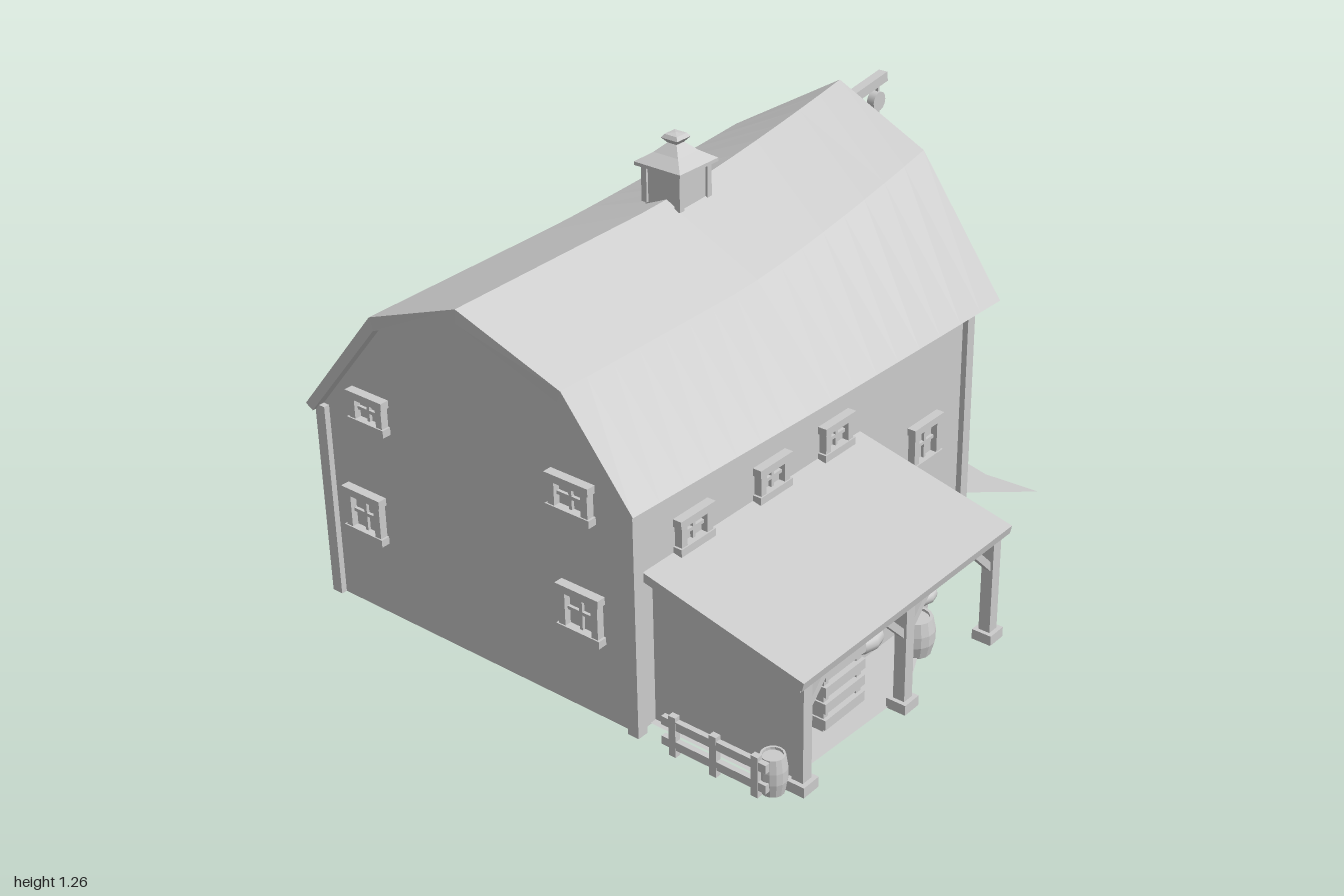
import * as THREE from 'three';

const gray = new THREE.MeshStandardMaterial({ color: 0xcccccc, side: THREE.DoubleSide });
gray.name = 'plain gray';
const V = (x, y, z) => new THREE.Vector3(x, y, z);

export function createModel() {
  const barn = new THREE.Group();
  barn.name = 'barn';

  const add = (name, geo, parent = barn) => {
    const m = new THREE.Mesh(geo, gray);
    m.name = name;
    parent.add(m);
    return m;
  };
  const box = (name, x, y, z, w, h, d, parent) => {
    const m = add(name, new THREE.BoxGeometry(w, h, d), parent);
    m.position.set(x, y, z);
    return m;
  };
  // square timber between two points
  const beam = (name, a, b, w, parent, t = w) => {
    const m = add(name, new THREE.BoxGeometry(w, t, a.distanceTo(b)), parent);
    m.position.copy(a).add(b).multiplyScalar(0.5);
    m.lookAt(b);
    return m;
  };
  const barrel = (name, x, y, z, r, h, parent) => {
    const pts = [[0, 0], [0.82, 0], [1, 0.35], [1, 0.65], [0.85, 1], [0.7, 1], [0.7, 0.93], [0, 0.93]];
    const m = add(name, new THREE.LatheGeometry(pts.map(p => new THREE.Vector2(p[0] * r, p[1] * h)), 14), parent);
    m.geometry = m.geometry.toNonIndexed();
    m.geometry.computeVertexNormals();
    m.position.set(x, y, z);
    return m;
  };

  // roof outline at s = 0 (front) to 1 (back); the ridge rises toward the back
  const front = [V(-0.81, 0.59, 0.94), V(-0.53, 0.93, 0.94), V(-0.15, 1.09, 1.0), V(0.14, 0.94, 0.95), V(0.36, 0.67, 0.95)];
  const back = [V(-0.81, 0.6, -0.61), V(-0.57, 0.97, -0.61), V(-0.2, 1.19, -0.63), V(0.12, 1.06, -0.6), V(0.41, 0.68, -0.58)];
  const profile = s => front.map((f, i) => {
    const p = f.clone().lerp(back[i], s);
    const u = Math.max(0, (s - 0.45) / 0.55);
    p.y = f.y + (back[i].y - f.y) * Math.pow(u, 1.4);
    return p;
  });
  const thick = [[0.025, -0.015], [0.012, -0.035], [0, -0.04], [-0.012, -0.035], [-0.025, -0.015]];
  const under = s => profile(s).map((p, i) => V(p.x + thick[i][0], p.y + thick[i][1], p.z));

  // skin over closed rings, with end strips between outer and inner edge
  const roofGeo = () => {
    const n = 16, pos = [], idx = [];
    for (let k = 0; k <= n; k++)
      for (const p of [...profile(k / n), ...under(k / n).reverse()]) pos.push(p.x, p.y, p.z);
    for (let k = 0; k < n; k++)
      for (let i = 0; i < 10; i++) {
        const a = k * 10 + i, b = k * 10 + (i + 1) % 10;
        idx.push(a, b, a + 10, b, b + 10, a + 10);
      }
    for (let i = 0; i < 4; i++) {
      const o = n * 10;
      idx.push(i, 9 - i, i + 1, i + 1, 9 - i, 8 - i);
      idx.push(o + i, o + i + 1, o + 9 - i, o + i + 1, o + 8 - i, o + 9 - i);
    }
    let g = new THREE.BufferGeometry();
    g.setAttribute('position', new THREE.Float32BufferAttribute(pos, 3));
    g.setIndex(idx);
    g = g.toNonIndexed();
    g.computeVertexNormals();
    return g;
  };
  add('gambrelRoof', roofGeo());

  // gable walls
  const XL = -0.77, XR = 0.32, ZF = 0.91, ZB = -0.55;
  const gable = (name, s, z, doorway) => {
    const u = under(s), sh = new THREE.Shape();
    sh.moveTo(XL, 0);
    if (doorway) [[-0.37, 0], [-0.37, 0.46], [0.06, 0.46], [0.06, 0]].forEach(p => sh.lineTo(...p));
    sh.lineTo(XR, 0);
    sh.lineTo(XR, 0.68);
    for (let i = 3; i > 0; i--) sh.lineTo(u[i].x, u[i].y + 0.01);
    sh.lineTo(XL, 0.6);
    sh.closePath();
    if (doorway) {
      const hole = new THREE.Path();
      [[-0.34, 0.62], [-0.2, 0.62], [-0.2, 0.91], [-0.34, 0.91]].forEach((p, i) => i ? hole.lineTo(...p) : hole.moveTo(...p));
      hole.closePath();
      sh.holes.push(hole);
    }
    add(name, new THREE.ExtrudeGeometry(sh, { depth: 0.02, bevelEnabled: false })).position.z = z;
  };
  gable('frontWall', 0.02, ZF - 0.02, false);
  gable('backWall', 0.96, ZB, true);
  box('leftSideWall', XL + 0.01, 0.31, 0.18, 0.02, 0.62, ZF - ZB);
  box('rightSideWall', XR - 0.01, 0.34, 0.18, 0.02, 0.68, ZF - ZB);
  for (const x of [XL, XR]) for (const z of [ZF, ZB])
    box('cornerBoard', x, x < 0 ? 0.295 : 0.33, z, 0.035, x < 0 ? 0.59 : 0.66, 0.035);

  // windows: frame, cross bars and pane, facing +z before turning
  const window4 = (x, y, z, w, h, turn) => {
    const g = new THREE.Group();
    g.name = 'window';
    for (const s of [-1, 1]) {
      box('frameSide', s * (w / 2 - 0.01), 0, 0.008, 0.022, h, 0.03, g);
      box('frameRail', 0, s * (h / 2 - 0.01), 0.01, w + 0.015, 0.022, 0.034, g);
    }
    box('upright', 0, 0, 0.005, 0.01, h, 0.014, g);
    box('crossbar', 0, 0, 0.005, w, 0.01, 0.014, g);
    box('pane', 0, 0, 0, w, h, 0.006, g);
    g.position.set(x, y, z);
    g.rotation.y = turn;
    barn.add(g);
  };
  [[-0.585, 0.63, 0.12, 0.1], [0.13, 0.63, 0.13, 0.11], [-0.63, 0.3, 0.13, 0.14], [0.15, 0.3, 0.13, 0.14]]
    .forEach(([x, y, w, h]) => window4(x, y, ZF, w, h, 0));
  [[0.69, 0.51, 0.12, 0.1], [0.37, 0.51, 0.12, 0.1], [0.09, 0.51, 0.12, 0.1], [-0.34, 0.3, 0.13, 0.14]]
    .forEach(([z, y, w, h]) => window4(XR, y, z, w, h, Math.PI / 2));
  [-0.36, 0.38, 0.71].forEach(z => window4(XL, 0.3, z, 0.13, 0.14, -Math.PI / 2));
  [[-0.6, 0.6, 0.1], [-0.66, 0.28, 0.12]].forEach(([x, y, w]) => window4(x, y, ZB, w, w, Math.PI));

  // sliding barn doors, loft shutter and frames on the back
  const plankDoor = (name, x0, x1, y0, y1) => {
    const g = new THREE.Group(), z = ZB - 0.015, zo = z - 0.014, w = x1 - x0, h = y1 - y0;
    g.name = name;
    box('planks', (x0 + x1) / 2, (y0 + y1) / 2, z, w, h, 0.02, g);
    for (const x of [x0 + 0.012, x1 - 0.012]) box('stile', x, (y0 + y1) / 2, zo, 0.025, h, 0.016, g);
    for (const y of [y0 + 0.012, y1 - 0.012]) box('rail', (x0 + x1) / 2, y, zo, w, 0.025, 0.016, g);
    beam('diagonal', V(x0 + 0.02, y0 + 0.02, zo), V(x1 - 0.02, y1 - 0.02, zo), 0.014, g, 0.022);
    barn.add(g);
  };
  plankDoor('rightDoor', 0.06, 0.28, 0.02, 0.47);
  plankDoor('leftDoor', -0.58, -0.37, 0.02, 0.47);
  plankDoor('loftShutter', -0.19, -0.03, 0.62, 0.91);
  box('doorTrack', -0.2, 0.5, ZB - 0.03, 1.02, 0.03, 0.05);
  for (const x of [-0.35, -0.19]) box('loftJamb', x, 0.765, ZB - 0.01, 0.025, 0.34, 0.03);
  for (const y of [0.61, 0.925]) box('loftRail', -0.19, y, ZB - 0.015, 0.34, 0.025, 0.04);

  // ground apron running through the doorway, and the porch floor
  const patch = (name, pts) => {
    const sh = new THREE.Shape(pts.map(p => new THREE.Vector2(p[0], -p[1])));
    const m = add(name, new THREE.ShapeGeometry(sh));
    m.rotation.x = -Math.PI / 2;
    m.position.y = 0.004;
  };
  patch('apron', [[-0.56, -0.62], [-0.38, -0.77], [0.15, -0.77], [0.3, -0.73], [0.48, -0.74], [0.31, -0.6], [0.28, -0.1], [0.2, 0.18], [-0.2, 0.1], [-0.57, 0.12], [-0.62, -0.5]]);
  patch('porchFloor', [[0.3, 0.02], [0.62, 0.05], [0.76, 0.35], [0.74, 0.86], [0.3, 0.86]]);
  const wheel = add('wagonWheel', new THREE.TorusGeometry(0.08, 0.012, 6, 16));
  wheel.position.set(-0.22, 0.09, -0.2);
  for (let i = 0; i < 4; i++) {
    const a = i * Math.PI / 4, c = 0.08 * Math.cos(a), s = 0.08 * Math.sin(a);
    beam('spoke', V(-0.22 - c, 0.09 - s, -0.2), V(-0.22 + c, 0.09 + s, -0.2), 0.01);
  }

  // cupola with flared cap
  const cup = new THREE.Group();
  cup.name = 'cupola';
  cup.position.set(-0.19, 0, 0.12);
  barn.add(cup);
  box('cupolaBase', 0, 1.125, 0, 0.12, 0.13, 0.12, cup);
  for (const s of [-1, 1]) for (const t of [-1, 1]) box('cupolaPost', s * 0.058, 1.13, t * 0.058, 0.018, 0.12, 0.018, cup);
  const capPts = [[0, 1.175], [0.113, 1.175], [0.113, 1.185], [0.06, 1.21], [0.022, 1.235], [0.04, 1.25], [0.03, 1.26], [0, 1.263]];
  const cap = add('cupolaCap', new THREE.LatheGeometry(capPts.map(p => new THREE.Vector2(...p)), 4, Math.PI / 4).toNonIndexed(), cup);
  cap.geometry.computeVertexNormals();

  // hoist beam, pulley and hanging tub
  const hx = -0.2;
  beam('hoistBeam', V(hx, 1.09, -0.5), V(hx, 1.14, -0.85), 0.03);
  beam('hoistBrace', V(hx, 1.0, -0.56), V(hx, 1.1, -0.68), 0.02);
  const pulley = add('pulley', new THREE.CylinderGeometry(0.03, 0.03, 0.025, 14));
  pulley.rotation.z = Math.PI / 2;
  pulley.position.set(hx, 1.07, -0.815);
  beam('rope', V(hx, 1.13, -0.82), V(hx, 0.95, -0.825), 0.009);
  const hook = add('hook', new THREE.TorusGeometry(0.018, 0.006, 6, 12));
  hook.rotation.y = Math.PI / 2;
  hook.position.set(hx, 0.955, -0.825);
  for (const s of [-1, 1]) beam('sling', V(hx, 0.945, -0.83), V(hx, 0.87, -0.84 + s * 0.055), 0.008);
  barrel('hangingTub', hx, 0.77, -0.84, 0.066, 0.11);

  // lean-to porch: roof, end wall, posts and braces
  const lean = (name, x0, y0, x1, y1, zc, d, t) => {
    const m = box(name, (x0 + x1) / 2, (y0 + y1) / 2, zc, Math.hypot(x1 - x0, y1 - y0), t, d);
    m.rotation.z = Math.atan2(y1 - y0, x1 - x0);
  };
  lean('porchRoof', 0.315, 0.452, 0.815, 0.337, 0.42, 0.91, 0.026);
  const end = new THREE.Shape([[0.32, 0], [0.76, 0], [0.76, 0.35], [0.32, 0.45]].map(p => new THREE.Vector2(...p)));
  add('porchEndWall', new THREE.ExtrudeGeometry(end, { depth: 0.015, bevelEnabled: false })).position.z = 0.825;
  box('porchBeam', 0.78, 0.32, 0.42, 0.03, 0.03, 0.88);
  for (const z of [0.83, 0.4, 0.0]) {
    box('porchPost', 0.78, 0.165, z, 0.035, 0.33, 0.035);
    box('postFoot', 0.78, 0.015, z, 0.06, 0.03, 0.06);
    for (const s of [-1, 1]) if (z + s * 0.1 < 0.87 && z + s * 0.1 > -0.02)
      beam('postBrace', V(0.78, 0.22, z), V(0.78, 0.31, z + s * 0.09), 0.02);
    beam('rafterBrace', V(0.78, 0.24, z), V(0.69, 0.34, z), 0.02);
    beam('rafter', V(0.33, 0.43, z), V(0.79, 0.325, z), 0.022);
  }

  // goods under the porch
  box('crateStand', 0.62, 0.1, 0.66, 0.04, 0.2, 0.04);
  for (let i = 0; i < 4; i++) box('crateSlat', 0.62, 0.03 + i * 0.05, 0.54, 0.16, 0.03, 0.17);
  for (const z of [0.47, 0.61]) box('crateUpright', 0.62, 0.1, z, 0.14, 0.19, 0.02);
  [[0.6, 0.2, 0.57, 0.08], [0.6, 0.17, 0.2, 0.05], [0.52, 0.14, 0.12, 0.06], [0.62, 0.13, 0.1, 0.05], [0.55, 0.06, 0.28, 0.07]]
    .forEach(([x, y, z, r]) => {
      const sack = add('sack', new THREE.SphereGeometry(r, 12, 8));
      sack.scale.set(1, 0.6, 1.1);
      sack.position.set(x, y, z);
    });
  box('lowCrate', 0.48, 0.05, 0.2, 0.2, 0.1, 0.3);
  barrel('porchBarrel', 0.66, 0, 0.17, 0.055, 0.11);
  barrel('porchBarrel', 0.56, 0, 0.05, 0.05, 0.11);
  barrel('outerBarrel', 0.73, 0, 0.88, 0.038, 0.11);
  barrel('cornerBarrel', -0.79, 0, 0.88, 0.03, 0.09);

  // low fence at the front of the porch
  for (const x of [0.45, 0.58, 0.71]) box('fencePost', x, 0.06, 0.92, 0.022, 0.12, 0.018);
  for (const y of [0.035, 0.095]) box('fenceRail', 0.58, y, 0.92, 0.33, 0.025, 0.016);

  // hitching rail, trough and pail behind the barn
  for (const x of [-0.64, -0.46, -0.27, -0.1]) box('hitchPost', x, 0.1, -0.85, 0.028, 0.2, 0.028);
  beam('hitchRail', V(-0.68, 0.155, -0.855), V(-0.06, 0.165, -0.855), 0.024);
  const knot = add('coiledRope', new THREE.TorusGeometry(0.03, 0.012, 6, 12));
  knot.position.set(-0.1, 0.17, -0.865);
  box('troughBottom', -0.665, 0.03, -0.935, 0.28, 0.02, 0.1);
  for (const s of [-1, 1]) {
    box('troughSide', -0.665, 0.05, -0.935 + s * 0.056, 0.31, 0.08, 0.015);
    box('troughEnd', -0.665 + s * 0.145, 0.045, -0.935, 0.018, 0.09, 0.115);
  }
  barrel('pail', -0.455, 0, -0.93, 0.036, 0.07);
  return barn;
}
